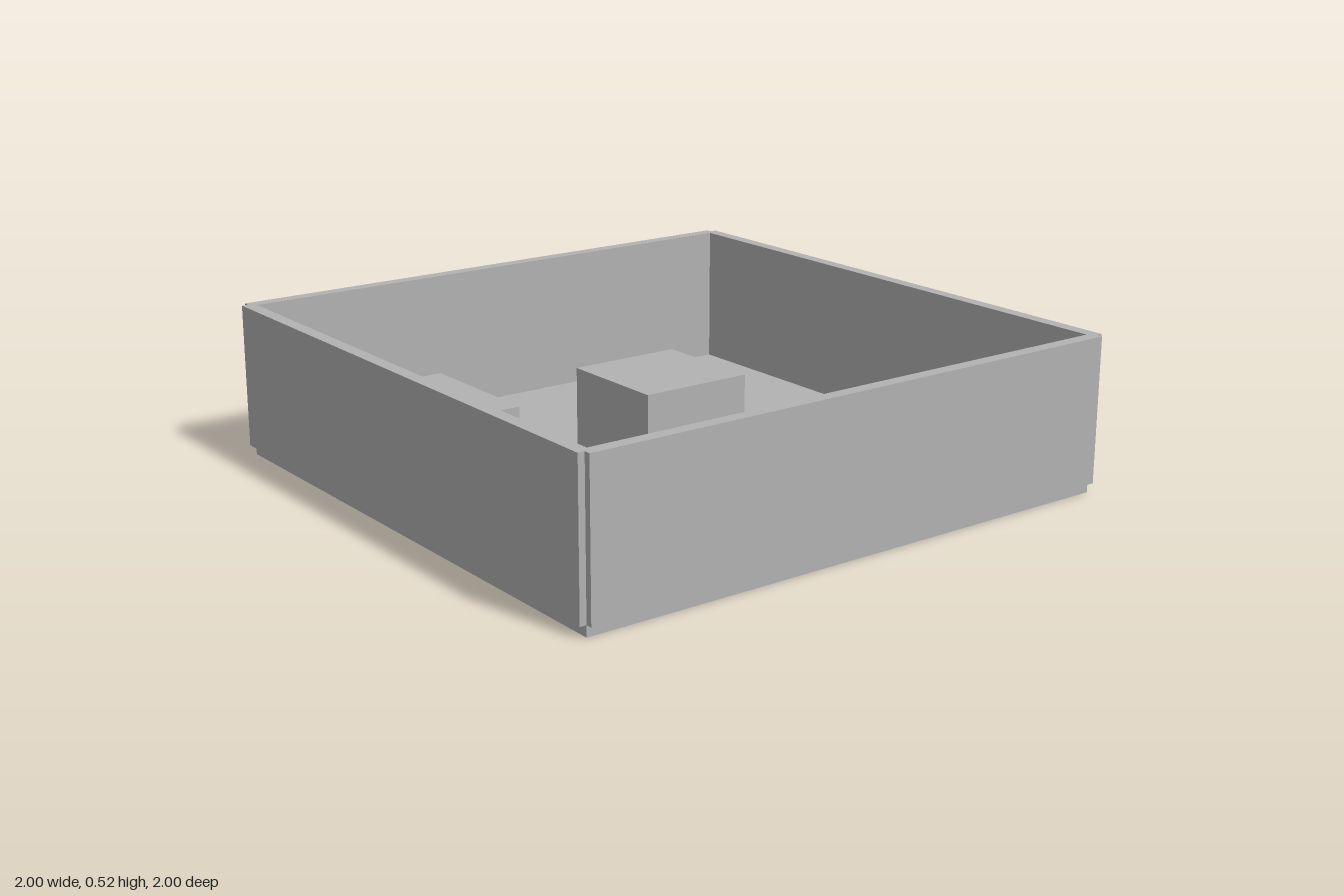
import * as THREE from 'three';

export function createModel() {
  const group = new THREE.Group();
  const grey = new THREE.MeshStandardMaterial({ color: 0xb2b2b2 });
  grey.name = 'plain grey';

  // Box standing on height y
  const addBox = (name, w, h, d, x, y, z) => {
    const mesh = new THREE.Mesh(new THREE.BoxGeometry(w, h, d), grey);
    mesh.name = name;
    mesh.position.set(x, y + h / 2, z);
    group.add(mesh);
  };

  const span = 1.956;      // floor and wall length
  const thick = 0.044;     // wall thickness
  const floorTop = 0.036;
  const wallHeight = 0.486;

  addBox('floor', span, floorTop, span, 0, 0, 0);

  // Walls centred on the floor edges, leaving small notches at the corners
  for (const s of [-1, 1]) {
    addBox(s > 0 ? 'frontWall' : 'backWall', span, wallHeight, thick, 0, floorTop, s * span / 2);
    addBox(s > 0 ? 'leftWall' : 'rightWall', thick, wallHeight, span, s * span / 2, floorTop, 0);
  }

  // Blocks on the floor
  addBox('centreBlock', 0.391, 0.312, 0.391, 0, floorTop, 0);
  addBox('backBlock', 0.26, 0.232, 0.487, -0.57, floorTop, -0.409);
  addBox('frontBlock', 0.482, 0.15, 0.262, 0.567, floorTop, 0.403);

  return group;
}
